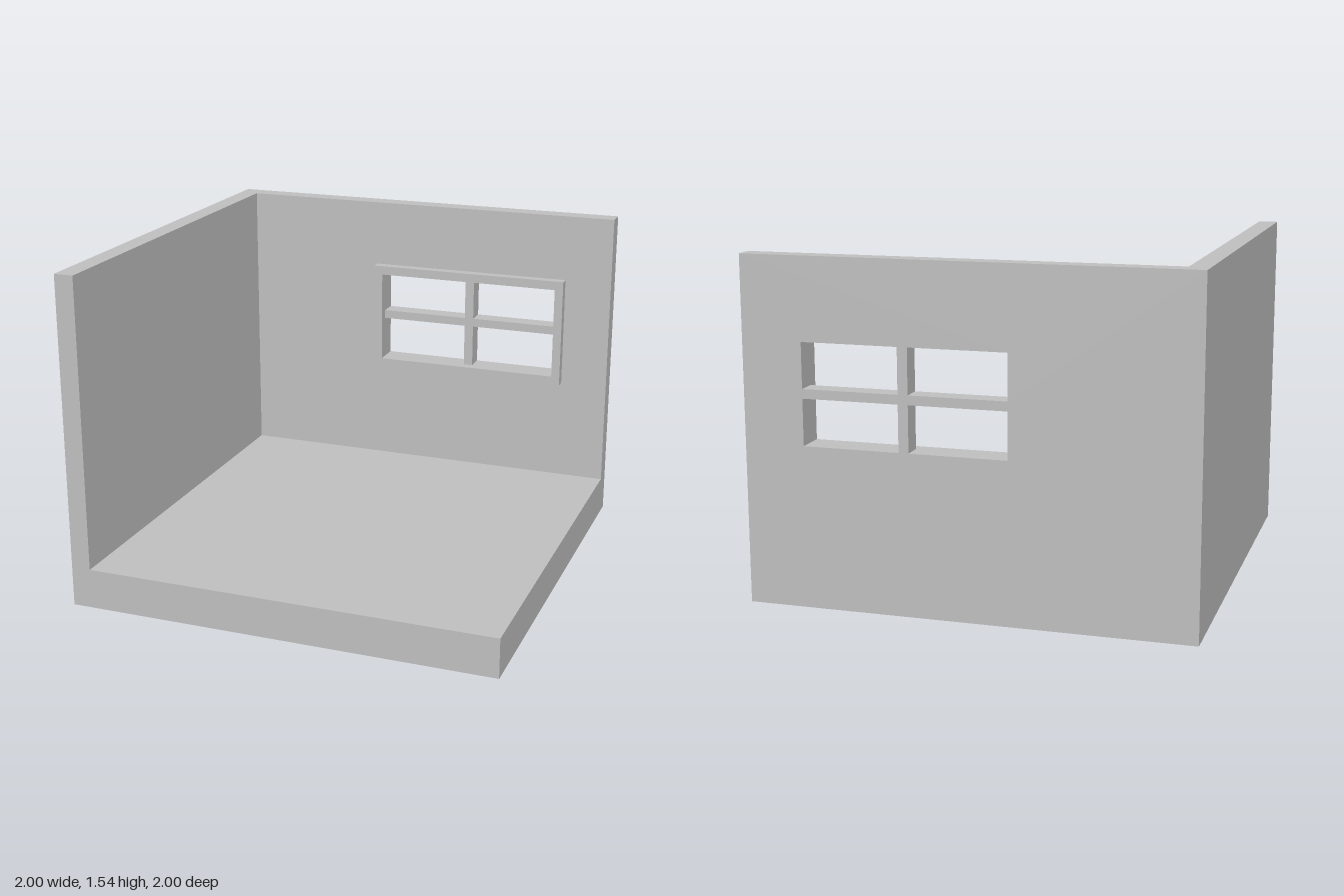
import * as THREE from 'three';

// Traces a rectangle onto a shape or hole path
function rect(path, x0, y0, x1, y1) {
  path.moveTo(x0, y0);
  path.lineTo(x1, y0);
  path.lineTo(x1, y1);
  path.lineTo(x0, y1);
  path.closePath();
  return path;
}

export function createModel() {
  const room = new THREE.Group();
  room.name = 'cutawayRoom';
  const plaster = new THREE.MeshStandardMaterial({ color: 0xbfbfbf });
  plaster.name = 'grey plaster';

  const floorTop = 0.185, wallTop = 1.544, inner = -0.91;

  const add = (name, geometry) => {
    const mesh = new THREE.Mesh(geometry, plaster);
    mesh.name = name;
    room.add(mesh);
    return mesh;
  };

  // Box given by its two opposite corners
  const addBox = (name, [x0, y0, z0], [x1, y1, z1]) => {
    const mesh = add(name, new THREE.BoxGeometry(x1 - x0, y1 - y0, z1 - z0));
    mesh.position.set((x0 + x1) / 2, (y0 + y1) / 2, (z0 + z1) / 2);
  };

  // Upright panel with rectangular openings, from z0 to z1
  const addPanel = (name, outline, openings, z0, z1) => {
    const shape = rect(new THREE.Shape(), ...outline);
    for (const o of openings) shape.holes.push(rect(new THREE.Path(), ...o));
    const geometry = new THREE.ExtrudeGeometry(shape, { depth: z1 - z0, bevelEnabled: false });
    add(name, geometry).position.z = z0;
  };

  // Floor slab and side wall
  addBox('floor', [-1, 0, -1], [1, floorTop, 1]);
  addBox('sideWall', [-1, floorTop, inner], [inner, wallTop, 1]);

  // Back wall: four panes leave the crossing window bars flush with the wall
  const panes = [];
  for (const [x0, x1] of [[-0.186, 0.25], [0.295, 0.728]])
    for (const [y0, y1] of [[0.724, 0.932], [0.974, 1.177]])
      panes.push([x0, y0, x1, y1]);
  addPanel('backWall', [-1, floorTop, 1, wallTop], panes, -1, inner);

  // Raised frame around the window on the room side
  addPanel('windowFrame', [-0.23, 0.682, 0.77, 1.221], [[-0.186, 0.724, 0.728, 1.177]], inner, -0.862);

  return room;
}
